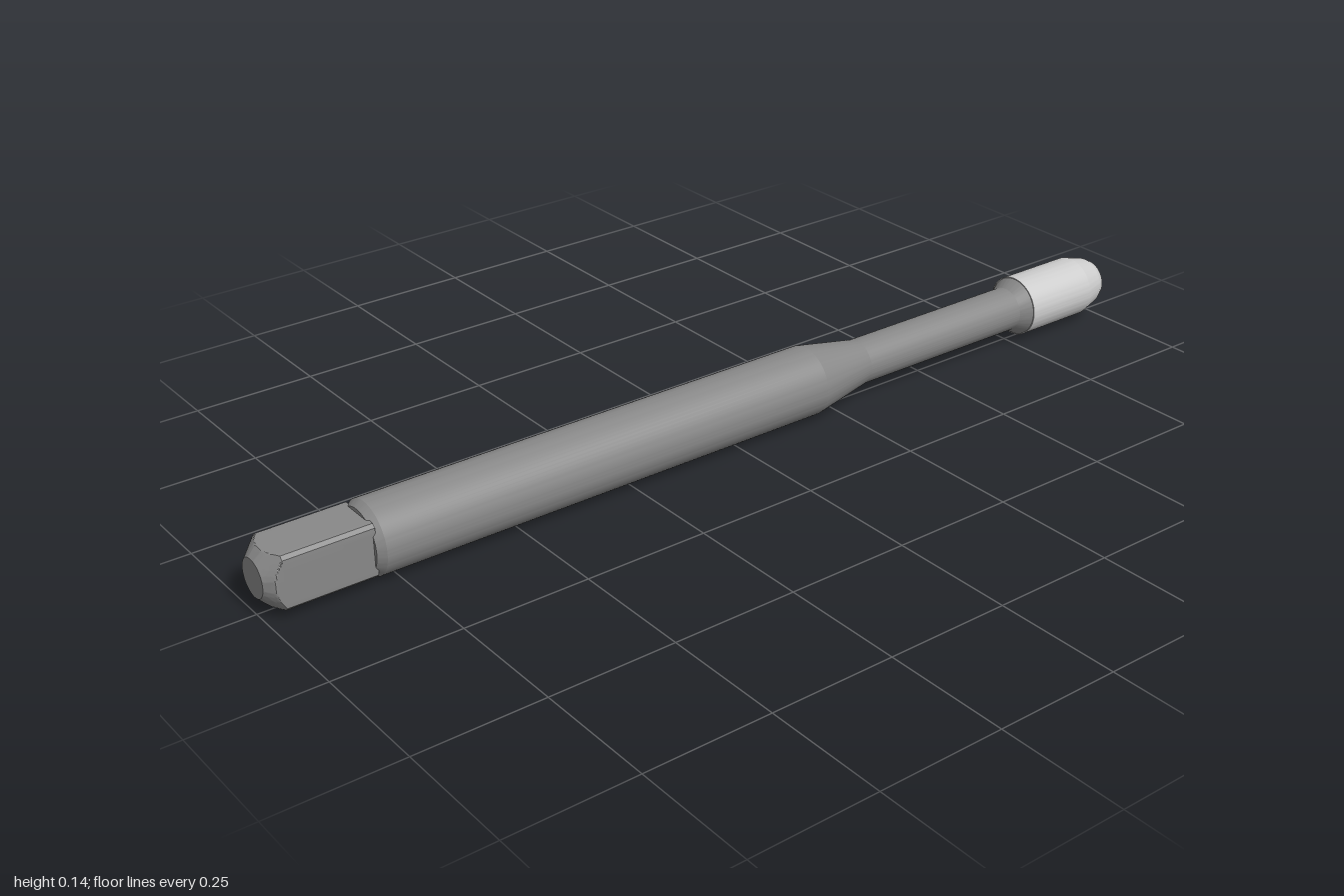
import * as THREE from 'three';
import { toCreasedNormals } from 'three/addons/utils/BufferGeometryUtils.js';

const R = 0.071; // shaft radius, also the height of the axis
const SEG = 64;
const dark = new THREE.MeshStandardMaterial({ color: 0x888888 });
const light = new THREE.MeshStandardMaterial({ color: 0xcccccc });

// Solid of revolution about z; profile is [radius, z] with z ascending
function turned(name, profile, material) {
  const pts = profile.map(([r, z]) => new THREE.Vector2(r, z));
  const geo = new THREE.LatheGeometry(pts, SEG).rotateX(Math.PI / 2);
  const mesh = new THREE.Mesh(toCreasedNormals(geo, 0.14), material);
  mesh.name = name;
  return mesh;
}

// Round bar milled to four flats: a turned profile clipped to a square
function squareDrive(half, profile, material) {
  const n = 96, pos = [], index = [];
  for (const [r, z] of profile) {
    for (let i = 0; i < n; i++) {
      const a = (i / n) * Math.PI * 2, c = Math.cos(a), s = Math.sin(a);
      const d = Math.min(r, half / Math.max(Math.abs(c), Math.abs(s)));
      pos.push(c * d, s * d, z);
    }
  }
  for (let k = 0; k < profile.length - 1; k++) {
    for (let i = 0; i < n; i++) {
      const a = k * n + i, b = k * n + ((i + 1) % n);
      index.push(a, b, b + n, a, b + n, a + n);
    }
  }
  // front cap
  const last = (profile.length - 1) * n, centre = pos.length / 3;
  pos.push(0, 0, profile[profile.length - 1][1]);
  for (let i = 0; i < n; i++) index.push(last + i, last + ((i + 1) % n), centre);
  const geo = new THREE.BufferGeometry();
  geo.setAttribute('position', new THREE.Float32BufferAttribute(pos, 3));
  geo.setIndex(index);
  const mesh = new THREE.Mesh(toCreasedNormals(geo, 0.3), material);
  mesh.name = 'squareDrive';
  return mesh;
}

export function createModel() {
  const model = new THREE.Group();
  model.name = 'threadingTool';

  // Thick shank, taper, thin neck and the flare behind the head
  model.add(turned('shaft', [
    [0.061, -0.77], [0.046, -0.745], [0.046, -0.33], [R, -0.195],
    [R, 0.785], [0.061, 0.8], [0, 0.8],
  ], dark));

  // Working head with a tapered, chamfered tip
  model.add(turned('head', [
    [0, -1], [0.042, -1], [0.051, -0.984], [0.063, -0.94], [0.063, -0.77], [0, -0.77],
  ], light));

  // Square drive end; its conical nose is sliced finely so it meets the flats in arcs
  const profile = [[0.07, 0.795], [0.07, 0.968]];
  for (let i = 1; i <= 10; i++) profile.push([0.07 - 0.0033 * i, 0.968 + 0.0032 * i]);
  model.add(squareDrive(0.053, profile, dark));

  for (const part of model.children) part.position.y = R;
  return model;
}
